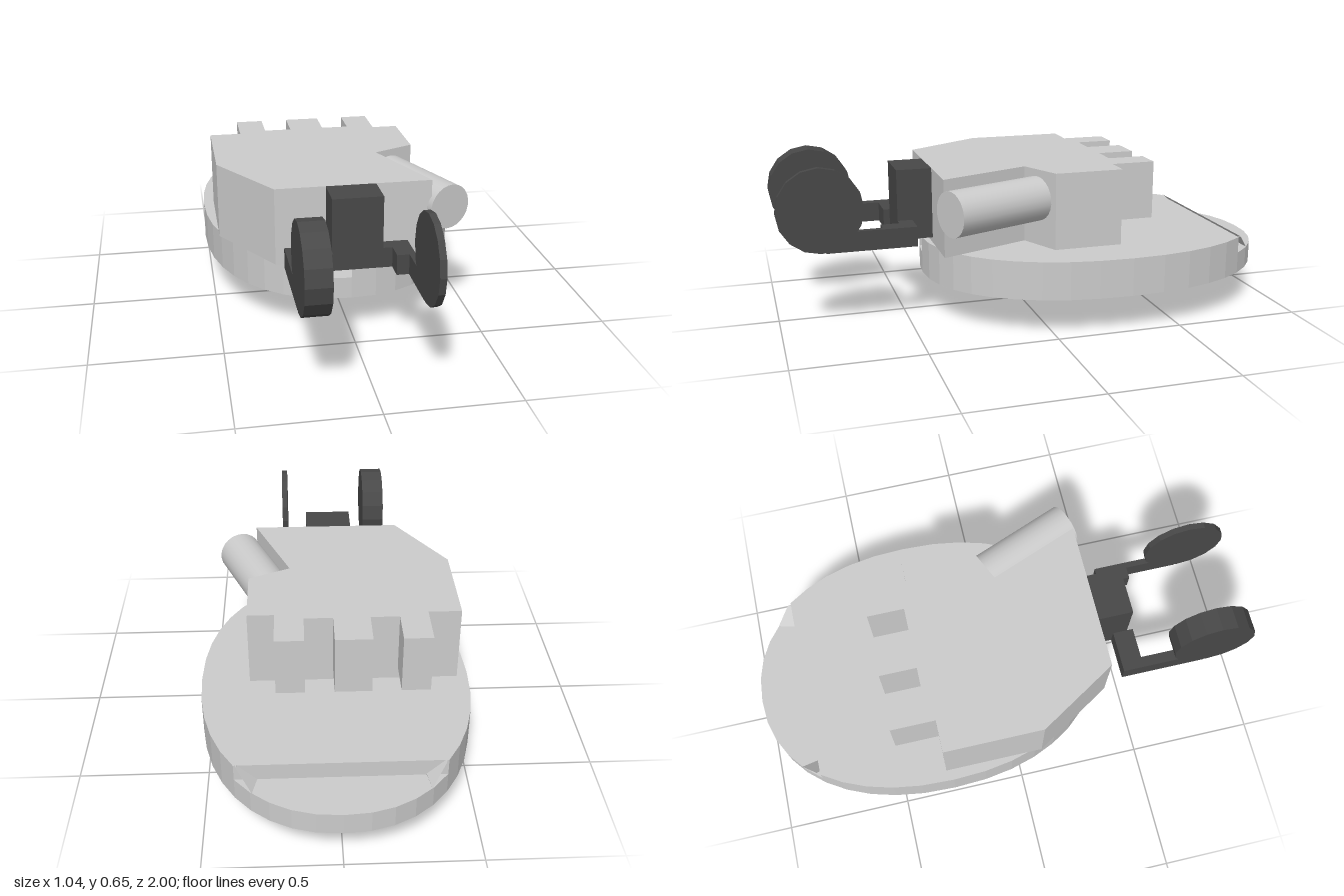
import * as THREE from 'three';

const grey = new THREE.MeshStandardMaterial({ color: 0xcccccc, flatShading: true });
const smoothGrey = new THREE.MeshStandardMaterial({ color: 0xcccccc });
const dark = new THREE.MeshStandardMaterial({ color: 0x484848, flatShading: true });
const blue = new THREE.MeshStandardMaterial({ color: 0x0d3580, flatShading: true });

// Rounded oval of the base, slightly fuller than an ellipse
const HALF_X = 0.52, HALF_Z = 0.708, MID_Z = -0.29, POWER = 2.2;
const halfWidth = (z) =>
  HALF_X * Math.pow(Math.max(0, 1 - Math.pow(Math.abs(z - MID_Z) / HALF_Z, POWER)), 1 / POWER);

function oval(count = 40) {
  const pts = [];
  for (let i = 0; i < count; i++) {
    const a = (i / count) * Math.PI * 2, c = Math.cos(a), s = Math.sin(a);
    pts.push([
      HALF_X * Math.sign(c) * Math.pow(Math.abs(c), 2 / POWER),
      MID_Z + HALF_Z * Math.sign(s) * Math.pow(Math.abs(s), 2 / POWER),
    ]);
  }
  return pts;
}

// Plan outline of [x, z] points extruded between two heights
function slab(points, y0, y1) {
  const shape = new THREE.Shape(points.map(([x, z]) => new THREE.Vector2(x, z)));
  const geo = new THREE.ExtrudeGeometry(shape, { depth: y1 - y0, bevelEnabled: false });
  return geo.rotateX(Math.PI / 2).translate(0, y1, 0);
}

// Box given by its lower and upper limits
function block(x0, x1, y0, y1, z0, z1) {
  return new THREE.BoxGeometry(x1 - x0, y1 - y0, z1 - z0)
    .translate((x0 + x1) / 2, (y0 + y1) / 2, (z0 + z1) / 2);
}

// Base deck whose rear edge slopes down to a lower step
function deckGeometry() {
  const rear = -0.88, slopeTop = -0.82;
  const w = halfWidth(rear);
  const pts = oval().filter(([, z]) => z > slopeTop);
  pts.sort((a, b) => Math.atan2(a[0], MID_Z - a[1]) - Math.atan2(b[0], MID_Z - b[1]));
  const geo = slab([[-w, rear], ...pts, [w, rear]], 0.235, 0.3);
  const p = geo.attributes.position;
  for (let i = 0; i < p.count; i++) {
    if (p.getY(i) > 0.29 && p.getZ(i) < slopeTop) {
      p.setXYZ(i, Math.sign(p.getX(i)) * halfWidth(slopeTop), 0.3, slopeTop);
    }
  }
  geo.computeVertexNormals();
  return geo;
}

// Shallow cone below the base
function keelGeometry() {
  const ring = oval(), verts = [];
  ring.forEach(([x, z], i) => {
    const [nx, nz] = ring[(i + 1) % ring.length];
    verts.push(0, 0, -0.32, x, 0.15, z, nx, 0.15, nz);
  });
  const geo = new THREE.BufferGeometry();
  geo.setAttribute('position', new THREE.Float32BufferAttribute(verts, 3));
  geo.computeVertexNormals();
  return geo;
}

export function createModel() {
  const model = new THREE.Group();
  const add = (name, geo, mat) => {
    const mesh = new THREE.Mesh(geo, mat);
    mesh.name = name;
    model.add(mesh);
    return mesh;
  };

  // Base
  add('keel', keelGeometry(), blue);
  add('lowerDeck', slab(oval(), 0.15, 0.235), grey);
  add('upperDeck', deckGeometry(), grey);

  // Main housing with a notch for the barrel
  add('housing', slab([
    [-0.477, -0.312], [0.333, -0.312], [0.333, -0.04], [0.17, 0.035],
    [0.31, 0.392], [-0.287, 0.392], [-0.477, 0.08],
  ], 0.3, 0.602), grey);

  // Rear comb
  add('rearRail', block(-0.35, 0.23, 0.37, 0.602, -0.34, -0.312), grey);
  [[-0.35, -0.24], [-0.13, 0.01], [0.12, 0.23]].forEach(([x0, x1]) =>
    add('rearTooth', block(x0, x1, 0.37, 0.602, -0.488, -0.34), grey));

  // Angled barrel
  const from = new THREE.Vector3(0.234, 0.487, 0.005);
  const to = new THREE.Vector3(0.385, 0.487, 0.385);
  const barrel = add('barrel', new THREE.CylinderGeometry(0.088, 0.088, from.distanceTo(to), 24), smoothGrey);
  barrel.position.copy(from).lerp(to, 0.5);
  barrel.quaternion.setFromUnitVectors(new THREE.Vector3(0, 1, 0), to.clone().sub(from).normalize());

  // Front bracket and arms
  add('bracket', block(-0.095, 0.095, 0.322, 0.602, 0.392, 0.53), dark);
  add('crossbarRight', block(-0.263, -0.095, 0.322, 0.4, 0.472, 0.555), dark);
  add('crossbarLeft', block(0.095, 0.2, 0.322, 0.4, 0.472, 0.53), dark);
  add('armRight', block(-0.263, -0.22, 0.322, 0.4, 0.555, 0.82), dark);
  add('armLeftRoot', block(0.13, 0.2, 0.322, 0.4, 0.53, 0.603), dark);
  add('armLeft', block(0.176, 0.2, 0.322, 0.4, 0.603, 0.82), dark);

  // Wheels: a thick one and a thin one
  [['wheelRight', -0.263, -0.17], ['wheelLeft', 0.176, 0.2]].forEach(([name, x0, x1]) => {
    const geo = new THREE.CylinderGeometry(0.164, 0.164, x1 - x0, 16).rotateZ(Math.PI / 2);
    add(name, geo.translate((x0 + x1) / 2, 0.487, 0.836), dark);
  });

  return model;
}
